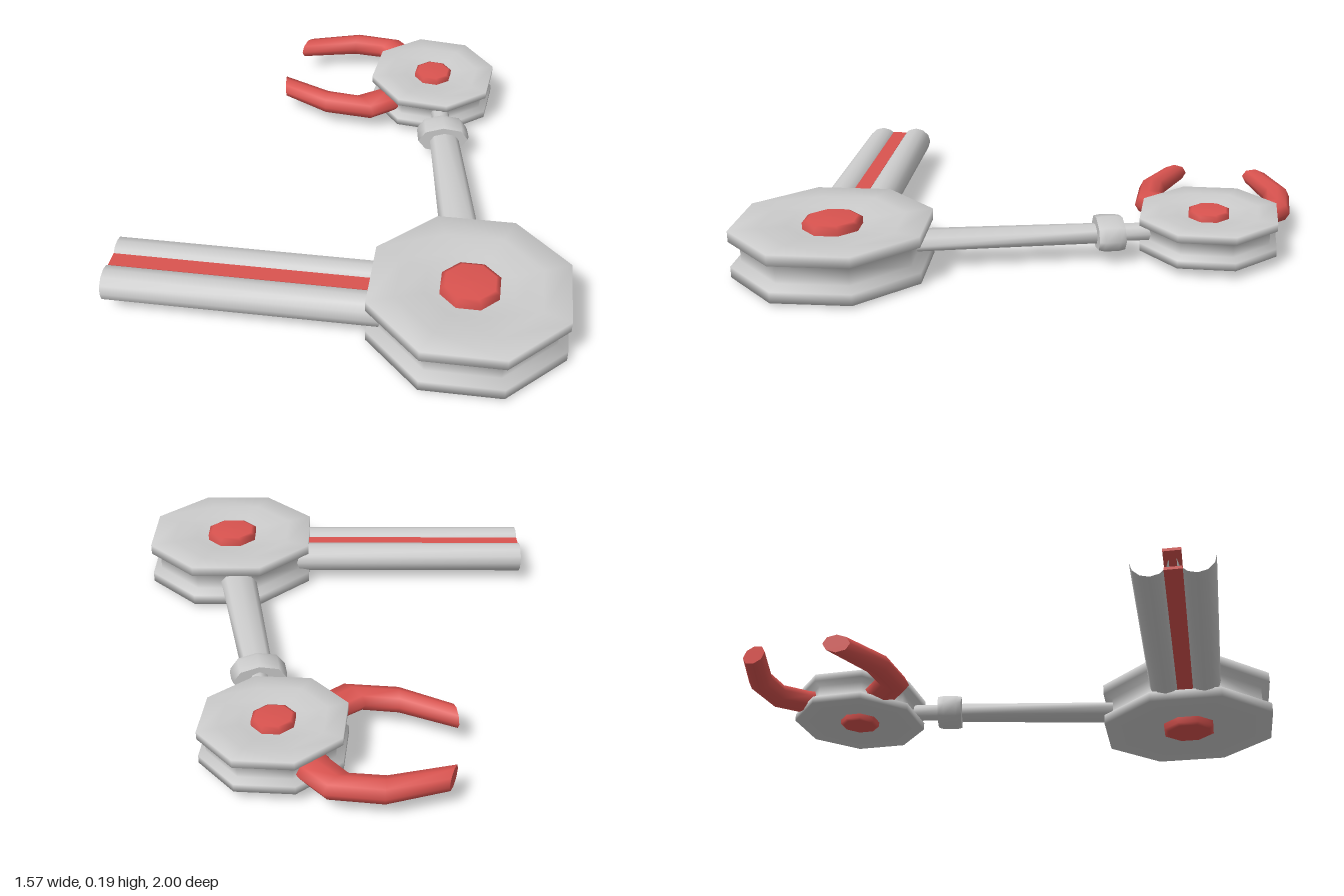
import * as THREE from 'three';

const CY = 0.097; // common mid height
const grey = new THREE.MeshStandardMaterial({ color: 0xcccccc });
const red = new THREE.MeshStandardMaterial({ color: 0xd9534f });

function add(parent, name, geometry, material) {
  const mesh = new THREE.Mesh(geometry, material);
  mesh.name = name;
  parent.add(mesh);
  return mesh;
}

// Smooth-shaded loft through oval sections: [xA, zA, xB, zB, halfHeight]
function loft(sections, sides = 8, capped = true) {
  const pos = [], idx = [];
  const ring = ([xa, za, xb, zb, h]) => {
    const start = pos.length / 3;
    for (let j = 0; j < sides; j++) {
      const t = (j / sides) * Math.PI * 2, c = Math.cos(t) / 2;
      pos.push((xa + xb) / 2 + c * (xa - xb), CY + Math.sin(t) * h, (za + zb) / 2 + c * (za - zb));
    }
    return start;
  };
  const rings = sections.map(ring);
  for (let i = 0; i < rings.length - 1; i++) {
    for (let j = 0; j < sides; j++) {
      const k = (j + 1) % sides;
      const a = rings[i] + j, b = rings[i] + k, c = rings[i + 1] + j, d = rings[i + 1] + k;
      idx.push(a, b, c, b, d, c);
    }
  }
  if (capped) {
    const first = ring(sections[0]), last = ring(sections[sections.length - 1]);
    for (let j = 1; j < sides - 1; j++) {
      idx.push(first, first + j + 1, first + j, last, last + j, last + j + 1);
    }
  }
  const g = new THREE.BufferGeometry();
  g.setAttribute('position', new THREE.Float32BufferAttribute(pos, 3));
  g.setIndex(idx);
  g.computeVertexNormals();
  return g;
}

// Eight-sided turned shape, mirrored top to bottom from its upper half
function turned(upper) {
  const lower = upper.map(([r, y]) => [r, -y]);
  const pts = [...lower, ...upper.reverse()].map(([r, y]) => new THREE.Vector2(r, y));
  return new THREE.LatheGeometry(pts, 8, Math.PI / 8);
}

// Grooved octagonal pulley with a red axle cap on both faces
function makeJoint(name) {
  const joint = new THREE.Group();
  joint.name = name;
  add(joint, 'grooveWheel', turned([
    [0, 0.06], [0.11, 0.062], [0.16, 0.078], [0.26, 0.083], [0.36, 0.086], [0.36, 0.046], [0.322, 0.03],
  ]), grey);
  add(joint, 'axleCap', turned([[0, 0.096], [0.09, 0.094], [0.107, 0.086], [0.107, 0.04]]), red);
  return joint;
}

export function createModel() {
  const model = new THREE.Group();
  model.name = 'jointedClawArm';

  // Large and small joints
  const elbow = makeJoint('elbowJoint');
  elbow.position.set(0.453, CY, 0.667);
  const wrist = makeJoint('wristJoint');
  wrist.position.set(0.207, 0.101, -0.66);
  wrist.scale.setScalar(0.73);
  wrist.rotation.set(0.02, -0.09, -0.02);
  model.add(elbow, wrist);

  // Twin-tube arm, open at the far end
  const arm = new THREE.Group();
  arm.name = 'twinTubeArm';
  for (const [z0, z1] of [[0.53, 0.655], [0.68, 0.805]]) {
    add(arm, 'armTube', loft([[0.3, z1, 0.3, z0, 0.058], [-0.785, z1, -0.785, z0, 0.058]], 12, false), grey);
  }
  // Red strips closing the gap above and below
  for (const s of [-1, 1]) {
    add(arm, 'armStrip', new THREE.BoxGeometry(1.085, 0.01, 0.06), red)
      .position.set(-0.2425, CY + s * 0.034, 0.667);
  }
  model.add(arm);

  // Tapered link between the joints, with collar and thin neck
  add(model, 'linkArm', loft([
    [0.345, 0.45, 0.49, 0.425, 0.034], [0.236, -0.24, 0.35, -0.26, 0.033],
  ]), grey);
  add(model, 'linkCollar', loft([
    [0.19, -0.235, 0.386, -0.27, 0.056], [0.186, -0.255, 0.388, -0.291, 0.062],
    [0.178, -0.305, 0.378, -0.341, 0.062], [0.177, -0.329, 0.37, -0.364, 0.056],
  ]), grey);
  add(model, 'linkNeck', loft([
    [0.242, -0.32, 0.314, -0.333, 0.034], [0.212, -0.5, 0.284, -0.513, 0.034],
  ]), grey);

  // Pair of claws growing out of the wrist groove
  add(model, 'rearClaw', loft([
    [0.06, -0.72, 0.16, -0.8, 0.04], [0.01, -0.81, 0.12, -0.89, 0.04], [-0.055, -0.89, 0.04, -0.975, 0.042],
    [-0.165, -0.9, -0.155, -1, 0.042], [-0.395, -0.84, -0.36, -0.94, 0.036],
  ]), red);
  add(model, 'frontClaw', loft([
    [0.16, -0.53, 0.06, -0.65, 0.04], [0.06, -0.455, -0.015, -0.565, 0.04], [-0.015, -0.395, -0.105, -0.5, 0.042],
    [-0.22, -0.415, -0.22, -0.515, 0.042], [-0.405, -0.51, -0.42, -0.61, 0.036],
  ]), red);

  return model;
}
